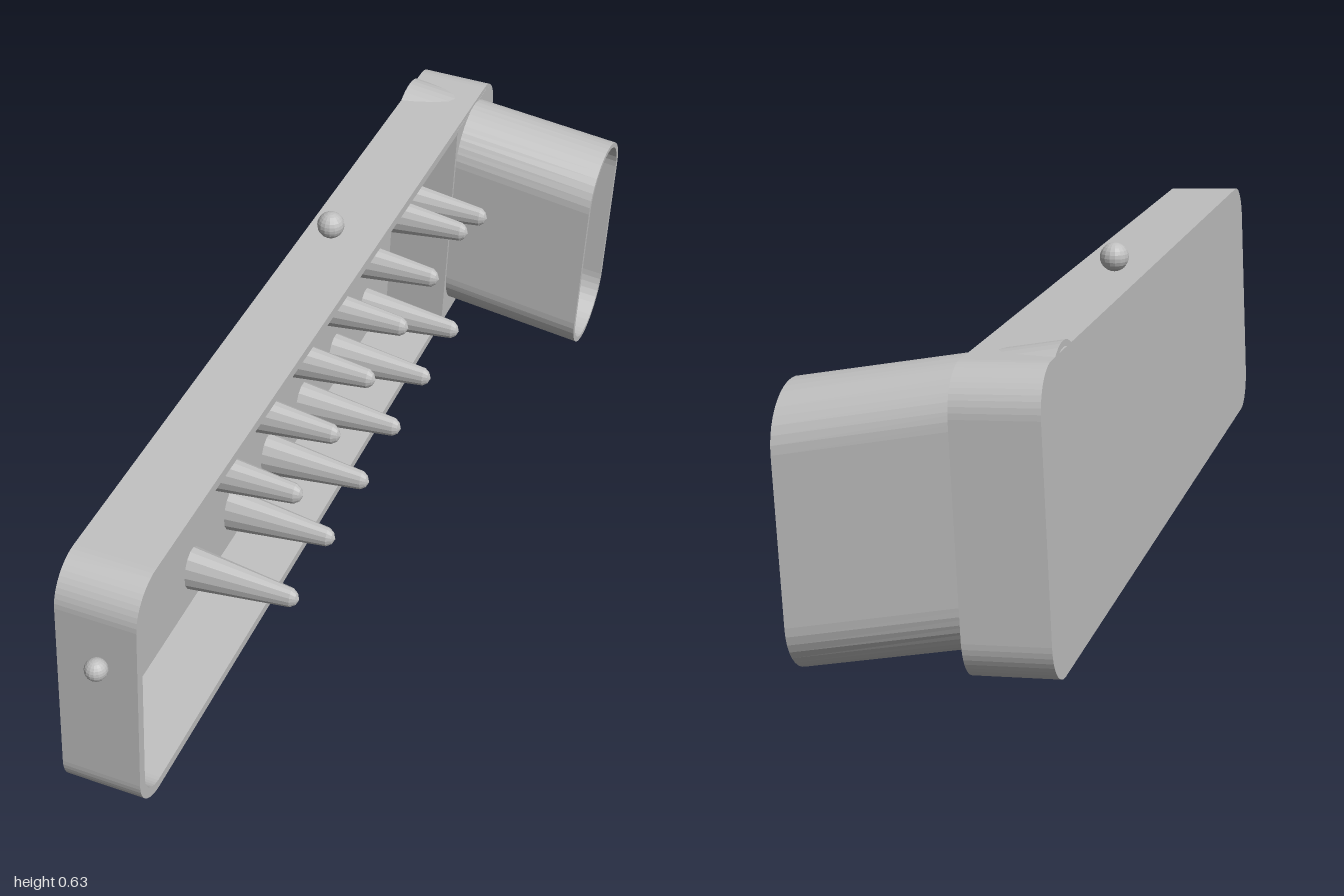
import * as THREE from 'three';

const LEN = 0.96, HALF = 0.27, DEPTH = 0.154, WALL = 0.02;

// Shapes are drawn with x = -length, y = height and are extruded along the depth.
function roundRect(Target, x0, x1, y0, y1, rLeft, rRight) {
  const s = new Target();
  const corner = (cx, cy, r, a) => {
    if (r > 0) s.absarc(cx, cy, r, a, a + Math.PI / 2, false);
    else s.lineTo(cx, cy);
  };
  s.moveTo(x0 + rLeft, y0);
  corner(x1 - rRight, y0 + rRight, rRight, -Math.PI / 2);
  corner(x1 - rRight, y1 - rRight, rRight, 0);
  corner(x0 + rLeft, y1 - rLeft, rLeft, Math.PI / 2);
  corner(x0 + rLeft, y0 + rLeft, rLeft, Math.PI);
  s.closePath();
  return s;
}

// Upright slot with two half-round ends
function slot(Target, cx, cy, r, h) {
  const s = new Target();
  s.absarc(cx, cy + h - r, r, 0, Math.PI, false);
  s.absarc(cx, cy - h + r, r, Math.PI, Math.PI * 2, false);
  s.closePath();
  return s;
}

function slab(shape, from, to, curveSegments = 6) {
  const g = new THREE.ExtrudeGeometry(shape, { depth: to - from, bevelEnabled: false, curveSegments });
  return g.translate(0, 0, from).rotateY(Math.PI / 2);
}

function faceted(g) {
  const f = g.index ? g.toNonIndexed() : g;
  f.computeVertexNormals();
  return f;
}

export function createModel() {
  const model = new THREE.Group();
  model.name = 'spikedTray';
  const grey = new THREE.MeshStandardMaterial({ color: 0xc0c0c0 });
  grey.name = 'plain grey';

  const add = (parent, name, geometry) => {
    const m = new THREE.Mesh(geometry, grey);
    m.name = name;
    parent.add(m);
    return m;
  };

  // Everything but the two balls sits in a slightly tilted frame
  const body = new THREE.Group();
  body.name = 'body';
  const zAxis = new THREE.Vector3(0.11, -0.0135, 0.994).normalize();
  const xAxis = new THREE.Vector3(0.046, 0.999, 0.0085).cross(zAxis).normalize();
  const yAxis = zAxis.clone().cross(xAxis);
  body.quaternion.setFromRotationMatrix(new THREE.Matrix4().makeBasis(xAxis, yAxis, zAxis));
  body.position.set(-0.138, 0.302, -0.014);
  model.add(body);

  // Tray: back panel, rim, and a boxed-in end around the tube
  const outline = () => roundRect(THREE.Shape, -LEN, LEN, -HALF, HALF, 0.08, 0.08);
  add(body, 'trayPanel', slab(outline(), 0, 0.015));
  const rim = outline();
  rim.holes.push(roundRect(THREE.Path, -LEN + WALL, LEN - WALL, -HALF + WALL, HALF - WALL, 0.062, 0.062));
  add(body, 'trayRim', slab(rim, 0.01, DEPTH));

  const cap = roundRect(THREE.Shape, 0.69, LEN, -HALF + WALL / 2, HALF - WALL / 2, 0, 0.075);
  cap.holes.push(slot(THREE.Path, 0.807, 0.009, 0.104, 0.247));
  add(body, 'endCap', slab(cap, DEPTH - 0.006, DEPTH + 0.0005, 10));
  const divider = roundRect(THREE.Shape, 0.69, 0.696, -HALF + WALL / 2, HALF - WALL / 2, 0, 0);
  add(body, 'endDivider', slab(divider, 0.01, DEPTH));

  // Oblique oval tube, slanting down and back and widening slightly
  const tubeLength = 0.47;
  const ring = slot(THREE.Shape, 0, 0, 0.104, 0.255);
  ring.holes.push(slot(THREE.Path, 0, 0, 0.093, 0.244));
  const tube = slab(ring, 0, tubeLength, 10);
  const p = tube.attributes.position;
  for (let i = 0; i < p.count; i++) {
    const x = p.getX(i), t = x / tubeLength;
    p.setY(i, p.getY(i) + 0.03 - 0.1375 * x);
    p.setZ(i, p.getZ(i) * (1 + 0.125 * t) - 0.8 - 0.046 * x);
  }
  add(body, 'tube', faceted(tube));

  // Spikes: flattened tapering pegs in two rows, plus one beside the tube
  const profile = [[0.05, 0], [0.022, 0.218], [0.014, 0.228], [0, 0.234]];
  const spike = faceted(
    new THREE.LatheGeometry(profile.map(([r, h]) => new THREE.Vector2(r, h)), 14)
      .scale(1, 1, 0.72).rotateZ(-Math.PI / 2)
  );
  const spots = [[0.058, -0.68]];
  for (let i = 0; i < 6; i++) {
    spots.push([0.108, 0.43 - 0.1925 * i], [-0.16, 0.43 - 0.1925 * i]);
  }
  for (const [y, z] of spots) add(body, 'spike', spike).position.set(0.01, y, z);

  // Small balls above the long edge and off the front end
  const ball = (name, r, x, y, z) =>
    add(model, name, faceted(new THREE.SphereGeometry(r, 16, 12))).position.set(x, y, z);
  ball('topBall', 0.028, -0.085, 0.605, -0.18);
  ball('frontBall', 0.021, 0.08, 0.415, 0.979);

  return model;
}
